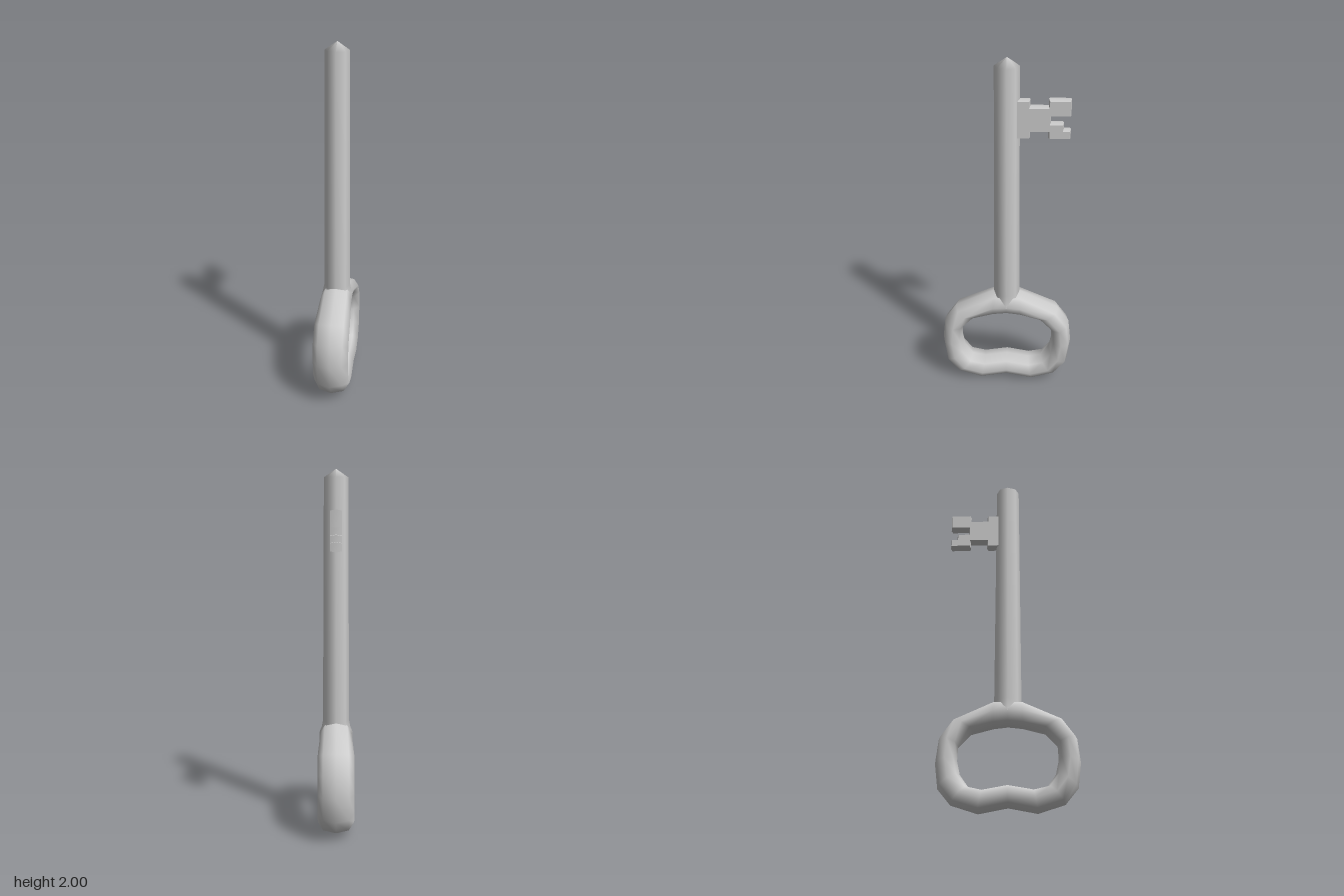
import * as THREE from 'three';
import { toCreasedNormals } from 'three/addons/utils/BufferGeometryUtils.js';

const material = new THREE.MeshStandardMaterial({ color: 0xcccccc });

function part(name, geometry) {
  const mesh = new THREE.Mesh(geometry, material);
  mesh.name = name;
  return mesh;
}

// Bow: an octagonal section swept round a loop, each section spanning outer to inner edge.
function bowGeometry() {
  // outer z, outer y, inner z, inner y, half thickness
  const half = [
    [0, 0.03, 0, 0.148, 0.1],
    [0.155, 0, 0.13, 0.125, 0.1],
    [0.295, 0.045, 0.205, 0.14, 0.1],
    [0.365, 0.13, 0.25, 0.205, 0.1],
    [0.382, 0.265, 0.266, 0.28, 0.1],
    [0.367, 0.395, 0.262, 0.36, 0.1],
    [0.3, 0.493, 0.185, 0.437, 0.1],
    [0.075, 0.603, 0.08, 0.455, 0.09],
    [0, 0.603, 0, 0.465, 0.088],
  ];
  const mirrored = half.slice(1, -1).reverse().map(([a, b, c, d, w]) => [-a, b, -c, d, w]);
  const sections = [...half, ...mirrored];
  // across (x), and fraction from outer to inner edge
  const profile = [[0, 0], [0.7, 0.13], [1, 0.5], [0.7, 0.87], [0, 1], [-0.7, 0.87], [-1, 0.5], [-0.7, 0.13]];
  const n = sections.length, m = profile.length;
  const positions = [], index = [];
  sections.forEach(([oz, oy, iz, iy, w], i) => {
    profile.forEach(([across, t], k) => {
      positions.push(across * w, oy + (iy - oy) * t, oz + (iz - oz) * t);
      const a = i * m + k, b = ((i + 1) % n) * m + k;
      const c = i * m + (k + 1) % m, d = ((i + 1) % n) * m + (k + 1) % m;
      index.push(a, c, b, b, c, d);
    });
  });
  const geometry = new THREE.BufferGeometry();
  geometry.setAttribute('position', new THREE.Float32BufferAttribute(positions, 3));
  geometry.setIndex(index);
  geometry.computeVertexNormals();
  return geometry;
}

// Bit: toothed plate with a slight ridge along the middle of its rim.
function bitGeometry() {
  const outline = [
    [0.03, 1.568], [0.122, 1.568], [0.122, 1.605], [0.217, 1.605], [0.217, 1.568], [0.335, 1.568],
    [0.335, 1.62], [0.298, 1.62], [0.298, 1.655], [0.23, 1.655], [0.23, 1.693], [0.335, 1.693],
    [0.335, 1.784], [0.217, 1.784], [0.217, 1.744], [0.122, 1.744], [0.122, 1.78], [0.03, 1.78],
  ].map(([u, y]) => new THREE.Vector2(u, y));
  const geometry = new THREE.ExtrudeGeometry(new THREE.Shape(outline), {
    depth: 0.002, bevelThickness: 0.03, bevelSize: 0.006, bevelOffset: -0.006, bevelSegments: 1,
  });
  geometry.translate(0, 0, -0.001);
  geometry.rotateY(Math.PI / 2);
  return toCreasedNormals(geometry, 1.2);
}

export function createModel() {
  const key = new THREE.Group();
  key.name = 'key';

  // Slightly tapered eight-sided shaft, flared into the bow and pointed at the tip
  const shaft = [[0.088, 0.53], [0.074, 0.603], [0.066, 1.955], [0, 2]].map(([r, y]) => new THREE.Vector2(r, y));
  key.add(part('shaft', new THREE.LatheGeometry(shaft, 8)));
  key.add(part('bow', bowGeometry()));
  key.add(part('bit', bitGeometry()));
  return key;
}
